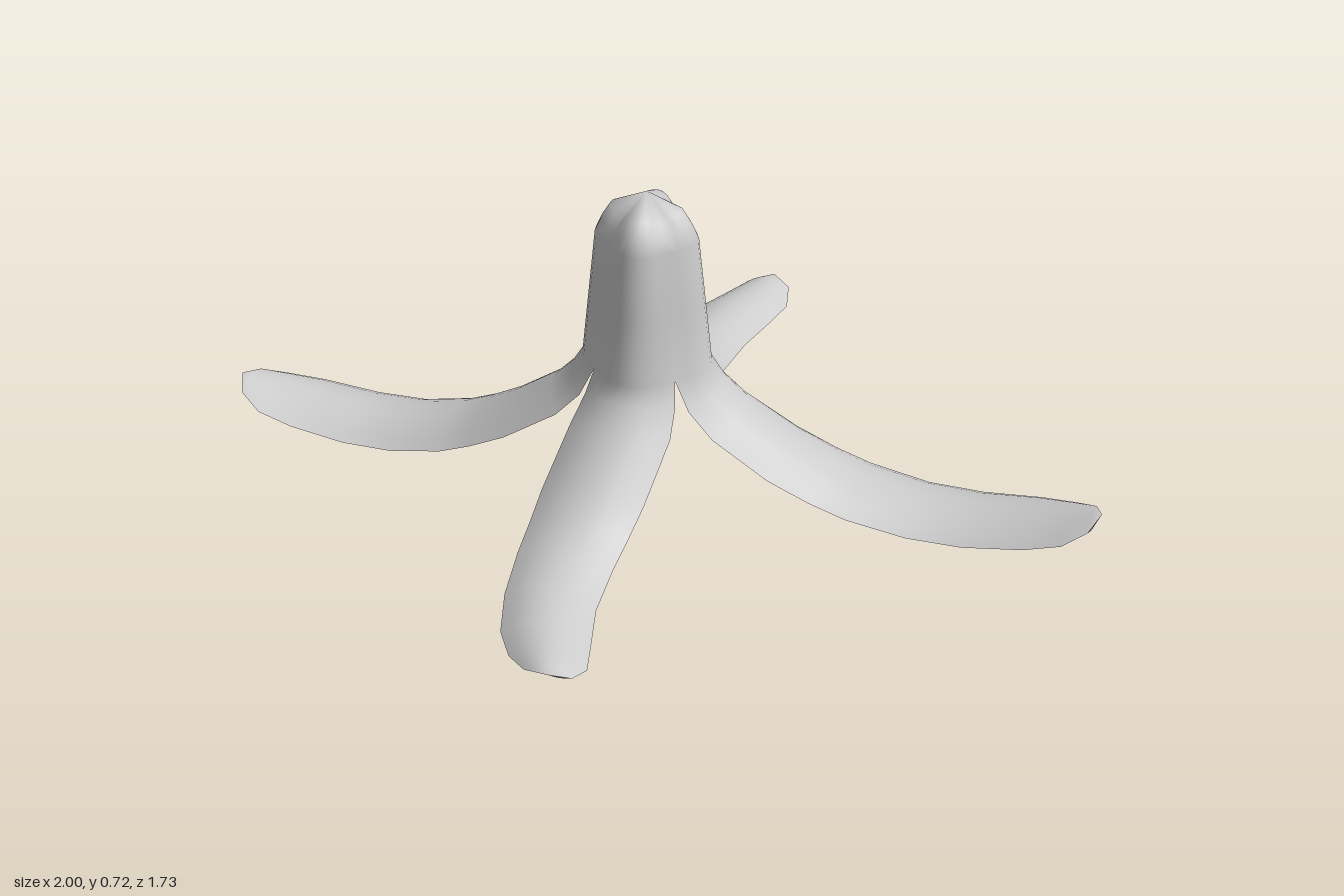
import * as THREE from 'three';
import { mergeGeometries, mergeVertices } from 'three/addons/utils/BufferGeometryUtils.js';

// Cross-section rows from the stalk down:
// [reach from axis, height, sideways shift, half width, edge pull-in, edge droop]
const stalk = [
  [0, 0.725, 0, 0, 0, 0],
  [0.08, 0.688, 0, 0.045, 0.035, 0.015],
  [0.1, 0.655, 0, 0.057, 0.043, 0.01],
  [0.115, 0.62, 0, 0.068, 0.047, 0],
  [0.13, 0.47, 0, 0.08, 0.05, 0],
  [0.145, 0.32, 0, 0.092, 0.053, 0],
];
const sideFlap = [
  [0.175, 0.272, -0.002, 0.103, 0.05, 0.02],
  [0.22, 0.226, -0.003, 0.113, 0.04, 0.03],
  [0.33, 0.152, -0.005, 0.12, 0.025, 0.035],
  [0.41, 0.108, -0.012, 0.12, 0.017, 0.035],
  [0.48, 0.076, -0.02, 0.12, 0.01, 0.035],
  [0.6, 0.048, -0.03, 0.117, 0, 0.037],
  [0.72, 0.043, -0.033, 0.115, 0, 0.035],
  [0.85, 0.064, -0.025, 0.108, 0, 0.035],
  [0.93, 0.085, -0.006, 0.09, 0, 0.03],
  [0.98, 0.1, 0.006, 0.055, 0, 0.015],
  [1, 0.105, 0.01, 0, 0, 0],
];
const endFlap = [
  [0.165, 0.285, -0.004, 0.103, 0.05, 0.02],
  [0.205, 0.242, -0.012, 0.114, 0.04, 0.03],
  [0.315, 0.148, -0.036, 0.116, 0.025, 0.035],
  [0.38, 0.105, -0.045, 0.112, 0.017, 0.035],
  [0.45, 0.072, -0.052, 0.108, 0.01, 0.035],
  [0.57, 0.051, -0.045, 0.102, 0, 0.038],
  [0.7, 0.047, -0.014, 0.099, 0, 0.04],
  [0.78, 0.045, 0.017, 0.085, 0, 0.038],
  [0.84, 0.044, 0.037, 0.052, 0, 0.02],
  [0.865, 0.04, 0.045, 0, 0, 0],
];
const AXIS = { x: -0.025, z: 0.045 };
const SEGMENTS = 8;
const THICKNESS = 0.022;

// One quarter of the skin: a stalk panel running on into its flap.
function quarter(flap, alongX, sign, stretch) {
  const rows = [...stalk, ...flap];
  const positions = [], thickness = [], index = [];
  rows.forEach(([reach, y, shift, half, pull, droop], r) => {
    for (let j = 0; j <= SEGMENTS; j++) {
      const v = (j / SEGMENTS) * 2 - 1;
      const base = reach > 0.145 ? 0.145 + (reach - 0.145) * stretch : reach;
      const out = sign * (base - pull * v * v);
      const side = shift + half * v;
      positions.push(
        AXIS.x + (alongX ? out : side),
        y - droop * v * v,
        AXIS.z + (alongX ? side : out)
      );
      // The skin thins to nothing at the free edges and tip
      const free = r >= stalk.length - 1;
      thickness.push(free ? (half ? THICKNESS * (1 - v ** 4) : 0) : THICKNESS);
    }
  });
  const flip = alongX === (sign > 0);
  for (let r = 0; r < rows.length - 1; r++) {
    for (let j = 0; j < SEGMENTS; j++) {
      const a = r * (SEGMENTS + 1) + j, b = a + 1;
      const c = a + SEGMENTS + 1, d = c + 1;
      const faces = [];
      if (r > 0) faces.push([a, c, b]);
      if (r < rows.length - 2) faces.push([b, c, d]);
      else if (r === 0) faces.push([b, c, d]);
      for (const [p, q, s] of faces) index.push(...(flip ? [p, s, q] : [p, q, s]));
    }
  }
  const geometry = new THREE.BufferGeometry();
  geometry.setAttribute('position', new THREE.Float32BufferAttribute(positions, 3));
  geometry.setAttribute('thickness', new THREE.Float32BufferAttribute(thickness, 1));
  geometry.setIndex(index);
  return geometry;
}

// Inner lining: the outer skin moved inward and turned over.
function lining(outer) {
  const inner = outer.clone();
  const p = inner.attributes.position, n = outer.attributes.normal;
  const t = outer.attributes.thickness;
  for (let i = 0; i < p.count; i++) {
    const d = t.getX(i);
    p.setXYZ(
      i,
      p.getX(i) - n.getX(i) * d,
      Math.max(0, p.getY(i) - n.getY(i) * d),
      p.getZ(i) - n.getZ(i) * d
    );
  }
  inner.setIndex(Array.from(outer.index.array).reverse());
  inner.computeVertexNormals();
  return inner;
}

export function createModel() {
  const group = new THREE.Group();
  group.name = 'fruitPeel';
  const material = new THREE.MeshStandardMaterial({ color: 0xcccccc });

  // Four quarters welded along the stalk, split apart below it
  const outer = mergeVertices(mergeGeometries([
    quarter(sideFlap, true, 1, 1.029),
    quarter(sideFlap, true, -1, 0.971),
    quarter(endFlap, false, 1, 0.9375),
    quarter(endFlap, false, -1, 1.0625),
  ]), 1e-4);
  outer.computeVertexNormals();

  const skin = new THREE.Mesh(outer, material);
  skin.name = 'outerSkin';
  const inside = new THREE.Mesh(lining(outer), material);
  inside.name = 'innerLining';
  group.add(skin, inside);
  return group;
}
